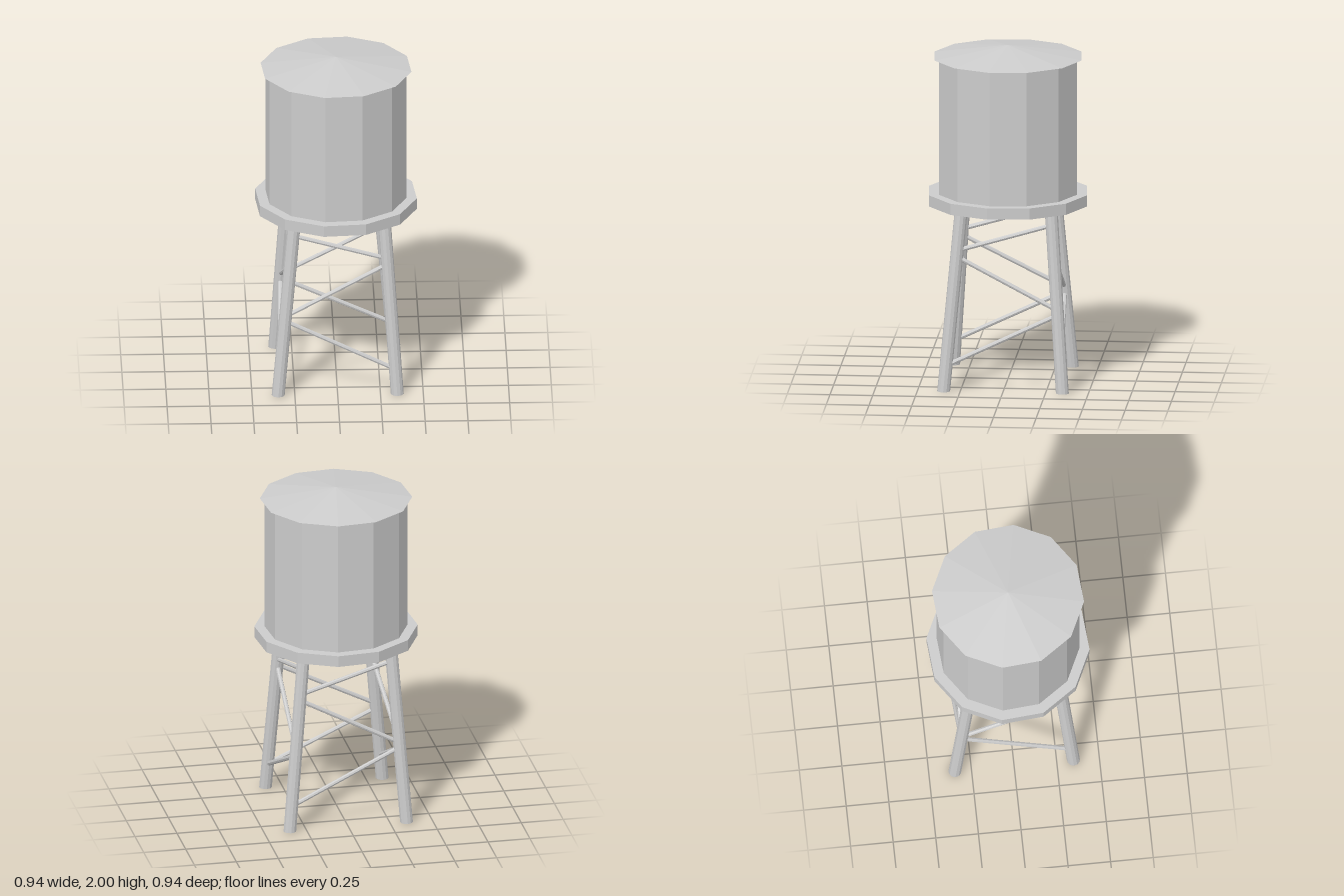
import * as THREE from 'three';

const SIDES = 12;
const TWIST = THREE.MathUtils.degToRad(20); // turns the twelve-sided body
const LEG_TOP = 1.065;

const material = new THREE.MeshStandardMaterial({ color: 0xcccccc, flatShading: true });

function addMesh(parent, name, geometry) {
  const mesh = new THREE.Mesh(geometry, material);
  mesh.name = name;
  parent.add(mesh);
  return mesh;
}

// Twelve-sided drum standing between two heights
function drum(parent, name, rTop, rBottom, y0, y1) {
  const geo = new THREE.CylinderGeometry(rTop, rBottom, y1 - y0, SIDES, 1, false, TWIST);
  geo.translate(0, (y0 + y1) / 2, 0);
  return addMesh(parent, name, geo);
}

// Leaning post with level ends: a cylinder sheared from foot to head
function post(foot, head, radius) {
  const height = head.y - foot.y;
  const geo = new THREE.CylinderGeometry(radius, radius, height, 12);
  geo.translate(0, height / 2, 0);
  const p = geo.attributes.position;
  for (let i = 0; i < p.count; i++) {
    const t = p.getY(i) / height;
    p.setX(i, p.getX(i) + THREE.MathUtils.lerp(foot.x, head.x, t));
    p.setZ(i, p.getZ(i) + THREE.MathUtils.lerp(foot.z, head.z, t));
  }
  geo.computeVertexNormals();
  return geo;
}

// Straight round bar between two points
function bar(parent, name, a, b, radius) {
  const dir = b.clone().sub(a);
  const mesh = addMesh(parent, name, new THREE.CylinderGeometry(radius, radius, dir.length(), 8));
  mesh.position.copy(a).add(b).multiplyScalar(0.5);
  mesh.quaternion.setFromUnitVectors(new THREE.Vector3(0, 1, 0), dir.normalize());
}

export function createModel() {
  const tower = new THREE.Group();
  tower.name = 'waterTower';

  // Tank, roof and platform
  drum(tower, 'platform', 0.477, 0.477, 1.06, 1.127);
  drum(tower, 'tank', 0.417, 0.417, 1.127, 1.935);
  const roof = new THREE.ConeGeometry(0.445, 0.067, SIDES, 1, false, TWIST);
  roof.translate(0, 1.9665, 0);
  addMesh(tower, 'roof', roof);

  // Four legs leaning inward, each a quarter turn from the last
  const legs = [];
  let foot = new THREE.Vector3(0.348, 0, 0.347);
  let head = new THREE.Vector3(0.275, LEG_TOP, 0.251);
  for (let i = 0; i < 4; i++) {
    addMesh(tower, 'leg', post(foot, head, 0.038));
    legs.push({ foot, head });
    foot = new THREE.Vector3(-foot.z, foot.y, foot.x);
    head = new THREE.Vector3(-head.z, head.y, head.x);
  }
  const onLeg = (i, y) => legs[i].foot.clone().lerp(legs[i].head, y / LEG_TOP);

  // Zigzag bracing on each face: heights on the first and second leg
  const zigzag = [[0.985, 0.83], [0.485, 0.795], [0.457, 0.15]];
  for (const [a, b] of [[1, 0], [3, 0], [2, 3], [2, 1]]) {
    for (const [ya, yb] of zigzag) bar(tower, 'brace', onLeg(a, ya), onLeg(b, yb), 0.0135);
  }
  return tower;
}
